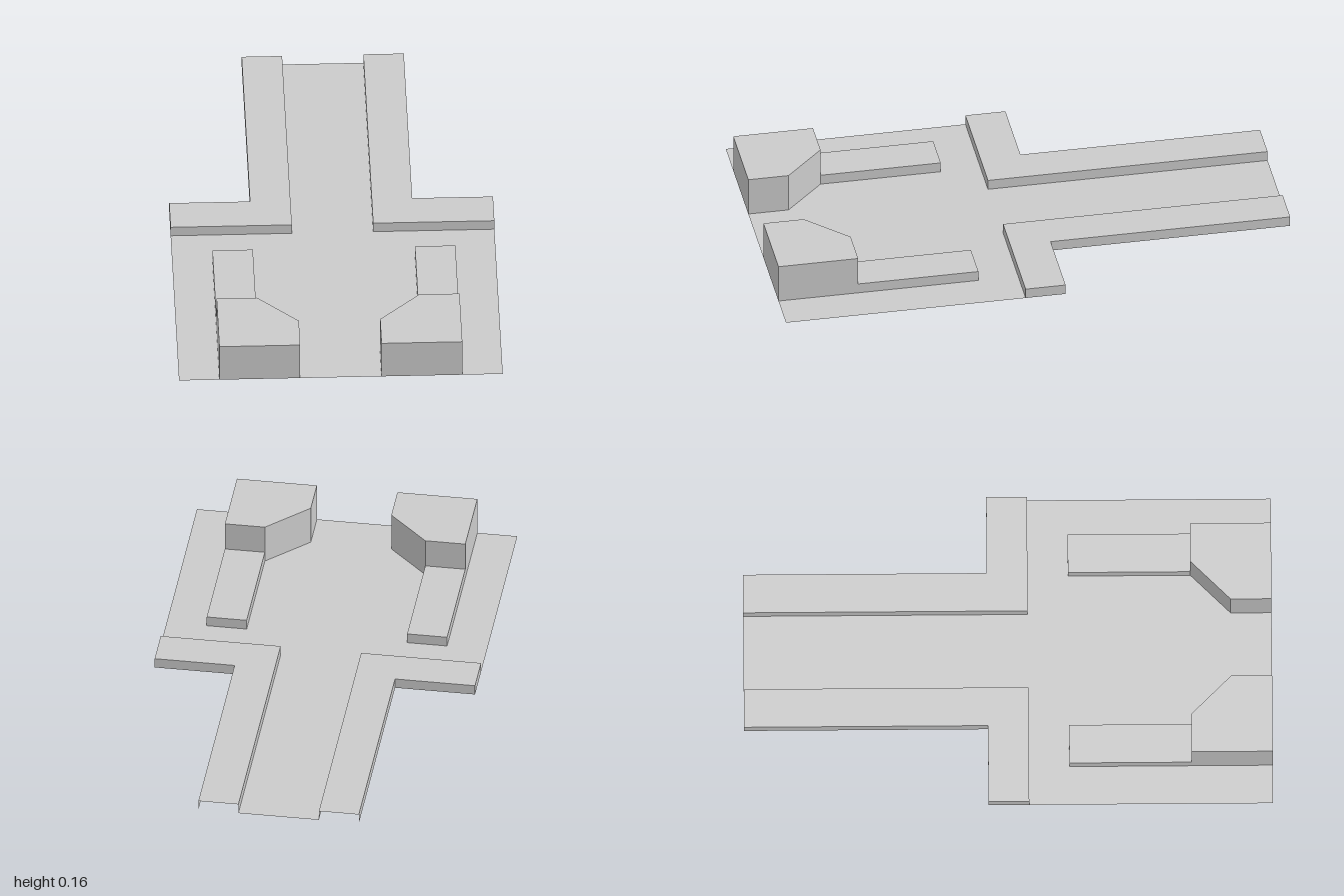
import * as THREE from 'three';

const LOW = 0.04, HIGH = 0.155;
const X1 = 0.154, X2 = 0.307, X3 = 0.46, X4 = 0.613;

const material = new THREE.MeshStandardMaterial({ color: 0xcccccc, flatShading: true, side: THREE.DoubleSide });

function mesh(name, geometry) {
  const m = new THREE.Mesh(geometry, material);
  m.name = name;
  return m;
}

// Mirror an [x, z] path to the other side, keeping its direction of travel
const mirrored = (path, s) => (s > 0 ? path : path.map(([x, z]) => [-x, z]).reverse());

// Horizontal sheet with the given [x, z] outline at height y
function sheet(name, outline, y) {
  const shape = new THREE.Shape(outline.map(([x, z]) => new THREE.Vector2(x, -z)));
  return mesh(name, new THREE.ShapeGeometry(shape).rotateX(-Math.PI / 2).translate(0, y, 0));
}

// Vertical walls following an [x, z] path
function walls(name, path, y0, y1) {
  const pos = [];
  for (let i = 0; i < path.length - 1; i++) {
    const [ax, az] = path[i], [bx, bz] = path[i + 1];
    pos.push(ax, y0, az, bx, y0, bz, bx, y1, bz, ax, y0, az, bx, y1, bz, ax, y1, az);
  }
  const g = new THREE.BufferGeometry();
  g.setAttribute('position', new THREE.Float32BufferAttribute(pos, 3));
  g.computeVertexNormals();
  return mesh(name, g);
}

export function createModel() {
  const model = new THREE.Group();
  model.name = 'junctionTile';

  // Ground sheet, left open beneath every raised part
  const half = [
    [X1, -1], [X1, 0.077], [X4, 0.077], [X4, 1], [X3, 1], [X3, 0.23],
    [X2, 0.23], [X2, 0.693], [X1, 0.845], [X1, 1],
  ];
  model.add(sheet('ground', [...half, ...mirrored(half, -1)], 0));

  // Raised parts, hollow from below
  const kerb = [[X1, -1], [X1, 0.077], [X4, 0.077], [X4, -0.077], [X2, -0.077], [X2, -1]];
  const strip = [[X3, 0.693], [X3, 0.23], [X2, 0.23], [X2, 0.693]];
  const block = [[X2, 0.693], [X1, 0.845], [X1, 1], [X3, 1], [X3, 0.693]];

  for (const s of [1, -1]) {
    const side = new THREE.Group();
    side.name = s > 0 ? 'leftSide' : 'rightSide';
    const path = (p) => mirrored(p, s);
    side.add(
      // L-shaped kerb, open at the back edge of the tile
      sheet('kerbTop', path(kerb), LOW),
      walls('kerbWalls', path(kerb), 0, LOW),
      // Low strip running back from the block
      sheet('stripTop', path(strip), LOW),
      walls('stripWalls', path(strip), 0, LOW),
      // Tall block with a cut inner corner
      sheet('blockTop', path(block), HIGH),
      walls('blockWalls', path(block), 0, HIGH),
      walls('blockBackWall', path([[X3, 0.693], [X2, 0.693]]), LOW, HIGH),
    );
    model.add(side);
  }
  return model;
}
